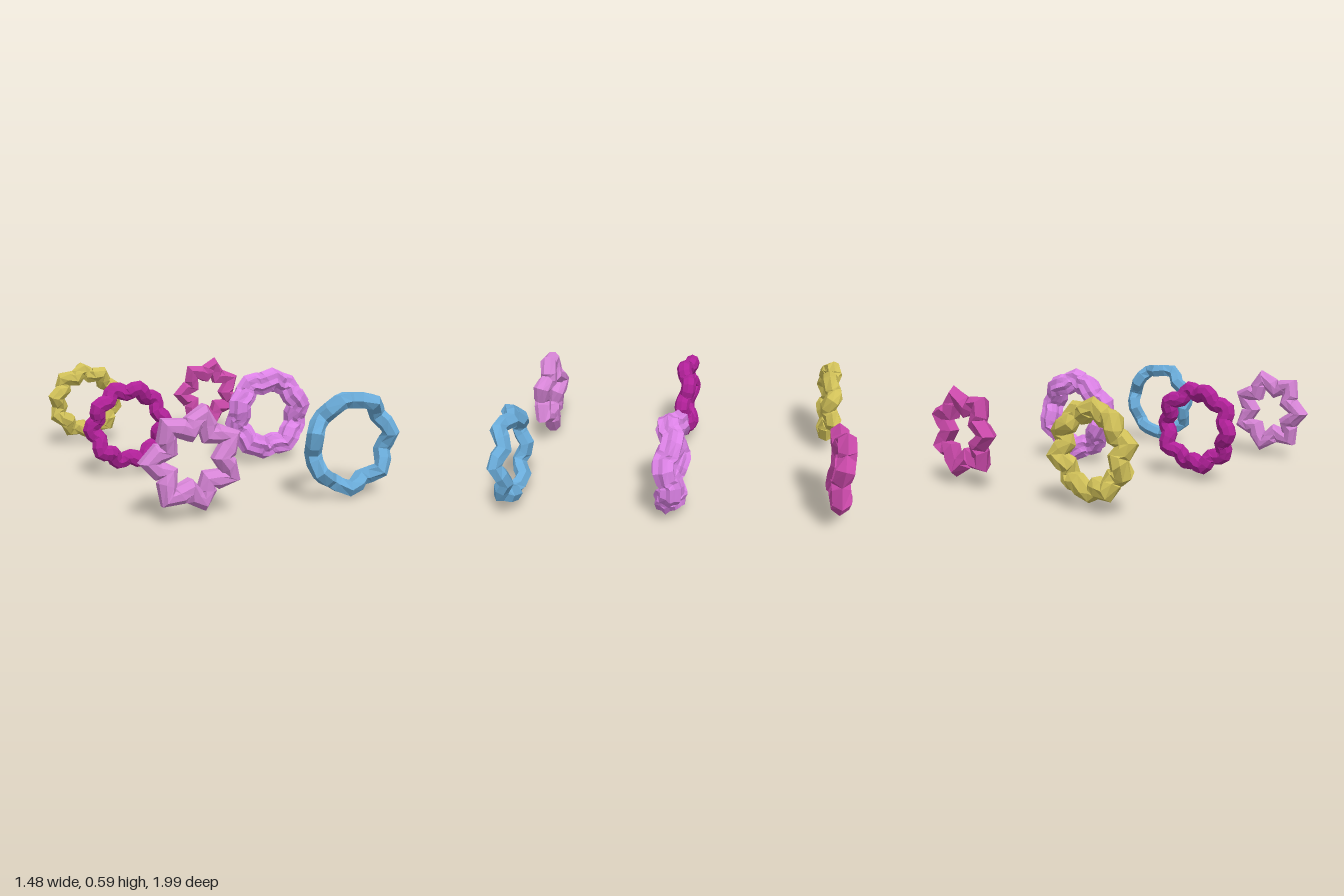
import * as THREE from 'three';

// Closed tube swept along a circle whose radius and depth ripple as it goes round.
// "flute" narrows every second corner of the cross-section into a groove.
function wavyRing({ R, tube, lobes, amp, phase, zAmp, zLobes, zPhase, sides, steps, flute = 0, spin = 0 }) {
  const start = THREE.MathUtils.degToRad(phase);
  const pathPoint = (t) => {
    const r = R + amp * Math.cos(lobes * (t - start));
    return new THREE.Vector3(r * Math.cos(t), r * Math.sin(t), zAmp * Math.sin(zLobes * t + zPhase));
  };
  const n = lobes * steps;
  const axis = new THREE.Vector3(0, 0, 1);
  const pos = [];
  const index = [];
  for (let i = 0; i < n; i++) {
    const t = start + (i / n) * Math.PI * 2;
    const p = pathPoint(t);
    const tangent = pathPoint(t + 0.01).sub(pathPoint(t - 0.01)).normalize();
    const out = tangent.clone().cross(axis).normalize();
    const side = out.clone().cross(tangent);
    const m = (i + 1) % n;
    for (let j = 0; j < sides; j++) {
      const a = ((j + spin) / sides) * Math.PI * 2;
      const w = tube * (j % 2 ? 1 - flute : 1);
      const v = p.clone().addScaledVector(out, w * Math.cos(a)).addScaledVector(side, w * Math.sin(a));
      pos.push(v.x, v.y, v.z);
      const k = (j + 1) % sides;
      const A = i * sides + j, B = m * sides + j, C = m * sides + k, D = i * sides + k;
      index.push(A, B, D, B, C, D);
    }
  }
  const g = new THREE.BufferGeometry();
  g.setAttribute('position', new THREE.Float32BufferAttribute(pos, 3));
  g.setIndex(index);
  g.computeVertexNormals();
  return g;
}

export function createModel() {
  const model = new THREE.Group();
  const rings = [
    // front row
    { name: 'pinkStarRing', color: 0xd684d6, at: [-0.46, 0.92], R: 0.183, tube: 0.053, lobes: 7, amp: 0.042,
      phase: 180, zAmp: 0.018, zLobes: 3, zPhase: 1.57, sides: 8, steps: 4, spin: 0.5 },
    { name: 'blueWavyRing', color: 0x6aacda, at: [0.45, 0.92], R: 0.233, tube: 0.046, lobes: 7, amp: 0.01,
      phase: 10, zAmp: 0.024, zLobes: 7, zPhase: 0, sides: 6, steps: 4, spin: 0.5 },
    // middle row
    { name: 'magentaBeadedRing', color: 0xb02098, at: [-0.475, -0.006], R: 0.208, tube: 0.047, lobes: 10, amp: 0.017,
      phase: 3, zAmp: 0.02, zLobes: 5, zPhase: 1.26, sides: 8, steps: 6 },
    { name: 'orchidFlutedRing', color: 0xdc82e6, at: [0.45, 0], R: 0.214, tube: 0.072, lobes: 10, amp: 0.011,
      phase: 15, zAmp: 0.022, zLobes: 5, zPhase: -0.25, sides: 14, steps: 4, flute: 0.2 },
    // back row
    { name: 'goldKnobbyRing', color: 0xd0c058, at: [-0.473, -0.93], R: 0.198, tube: 0.052, lobes: 10, amp: 0.021,
      phase: 24, zAmp: 0.02, zLobes: 7, zPhase: 0.2, sides: 7, steps: 4 },
    { name: 'roseStarRing', color: 0xc848a8, at: [0.455, -0.937], R: 0.172, tube: 0.054, lobes: 7, amp: 0.04,
      phase: 180, zAmp: 0.014, zLobes: 3, zPhase: 1.57, sides: 5, steps: 4 },
  ];
  for (const { name, color, at, ...shape } of rings) {
    const material = new THREE.MeshStandardMaterial({ color, flatShading: true });
    const mesh = new THREE.Mesh(wavyRing(shape), material);
    mesh.name = name;
    mesh.position.set(at[0], 0.3, at[1]);
    model.add(mesh);
  }
  return model;
}
